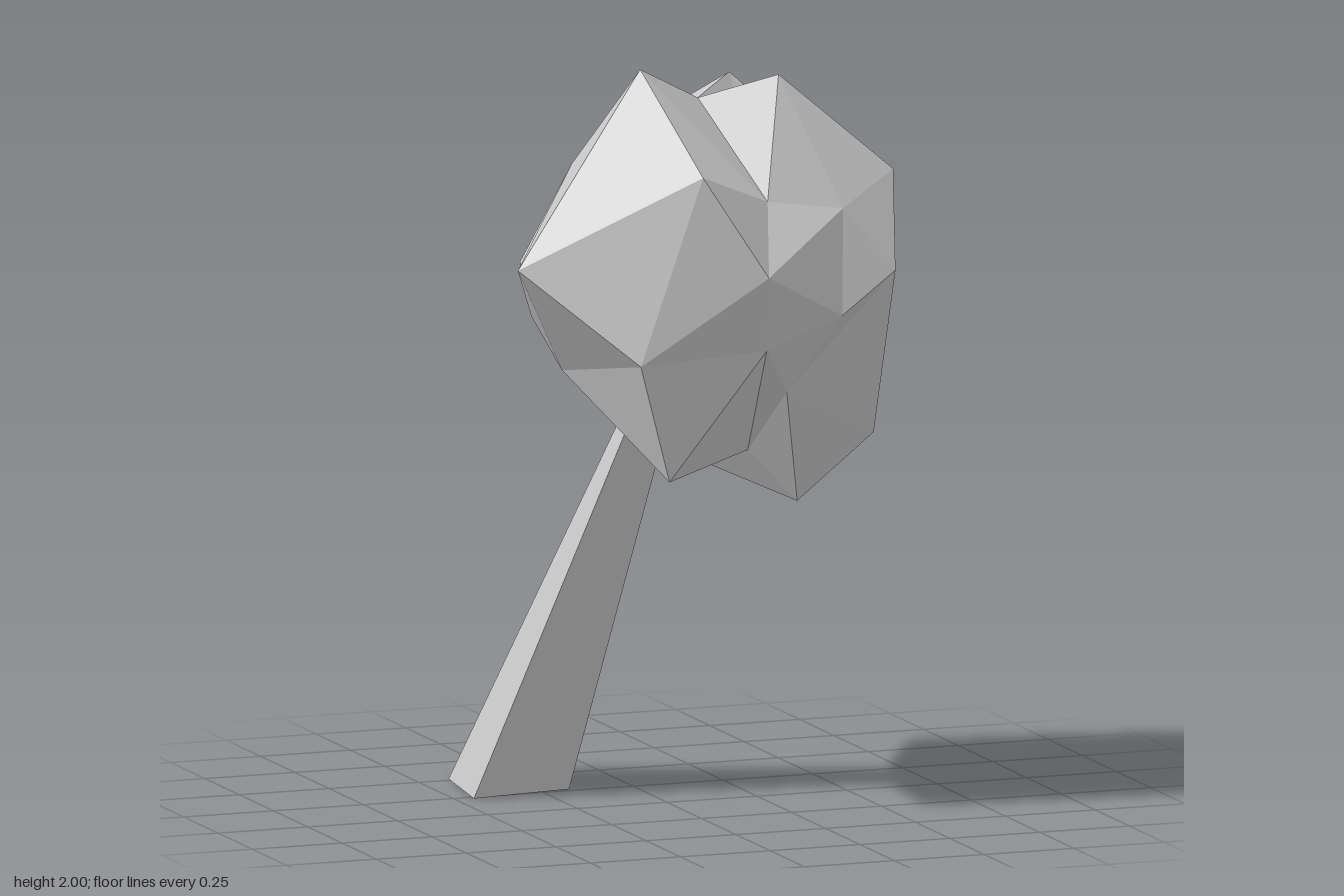
import * as THREE from 'three';
import { ConvexGeometry } from 'three/addons/geometries/ConvexGeometry.js';

const material = new THREE.MeshStandardMaterial({ color: 0xcccccc, flatShading: true });

// Corner points of the crown, from the top down
const crownPoints = [
  [-0.19, 2.0, 0.3], [0.18, 1.97, 0.34], [0.02, 1.89, 0.17], [0.2, 1.84, -0.01], [0.21, 1.9, -0.1],
  [0.27, 1.79, -0.02], [-0.15, 1.75, 0.18], [-0.11, 1.75, 0.55], [0.48, 1.71, 0.39], [-0.24, 1.69, -0.07],
  [0.02, 1.68, -0.23], [0.1, 1.66, 0.47], [0.31, 1.63, 0.47], [0.525, 1.62, -0.02], [-0.53, 1.49, 0.3],
  [-0.14, 1.49, -0.29], [0.31, 1.49, -0.27], [0.06, 1.48, 0.585], [0.45, 1.46, 0.485], [-0.36, 1.43, -0.13],
  [0.47, 1.4, 0.04], [0.05, 1.41, -0.36], [0.3, 1.35, 0.49], [-0.42, 1.33, 0.11], [0.455, 1.3, -0.12],
  [0.09, 1.27, 0.49], [-0.26, 1.25, 0.49], [-0.09, 1.22, -0.44], [-0.35, 1.19, 0.15], [0.28, 1.19, -0.27],
  [0.18, 1.14, 0.4], [0.3, 1.07, 0], [0.12, 1.03, -0.3], [-0.1, 1.04, -0.2], [0.46, 1.0, 0.3],
  [0.14, 0.96, 0.22], [0, 0.94, 0], [-0.15, 0.925, 0.41], [0.27, 0.82, 0.24],
].map((p) => new THREE.Vector3(...p));

// Ridges and folds that must run between two of the points
const creases = [
  [0, 14], [0, 9], [0, 11], [2, 11], [2, 5], [2, 6], [3, 6], [6, 10], [6, 9], [1, 5], [1, 12], [4, 5],
  [4, 13], [4, 16], [13, 16], [4, 10], [10, 21], [9, 14], [9, 23], [9, 19], [9, 15], [19, 23], [7, 17],
  [11, 17], [12, 17], [12, 22], [17, 26], [25, 37], [25, 35], [25, 30], [18, 30], [30, 34], [30, 38],
  [24, 34], [20, 34], [8, 20], [13, 20], [31, 34],
];

// Wrap the points on a sphere to get the facets, as triples of point numbers
function wrap(points, centre) {
  const dirs = points.map((p) => p.clone().sub(centre).normalize());
  const pos = new ConvexGeometry(dirs).attributes.position;
  const v = new THREE.Vector3();
  const faces = [];
  for (let i = 0; i < pos.count; i++) {
    v.fromBufferAttribute(pos, i);
    let best = 0;
    dirs.forEach((d, k) => { if (d.dot(v) > dirs[best].dot(v)) best = k; });
    if (i % 3 === 0) faces.push([]);
    faces[faces.length - 1].push(best);
  }
  return faces;
}

// Turn the shared edge of two facets so that it joins points a and b
function turnEdge(faces, a, b, keep) {
  for (const face of faces.filter((f) => f.includes(a))) {
    const i = face.indexOf(a);
    const u = face[(i + 1) % 3], v = face[(i + 2) % 3];
    const other = faces.find((f) => f.includes(b) && f.includes(u) && f.includes(v));
    const fixed = keep.some((e) => e.includes(u) && e.includes(v));
    if (!other || face.includes(b) || fixed) continue;
    face.splice(0, 3, a, u, b);
    other.splice(0, 3, a, b, v);
    return;
  }
}

function crownGeometry() {
  const faces = wrap(crownPoints, new THREE.Vector3(0.02, 1.4, 0.08));
  for (let pass = 0; pass < 3; pass++) {
    for (const [a, b] of creases) {
      if (!faces.some((f) => f.includes(a) && f.includes(b))) turnEdge(faces, a, b, creases);
    }
  }
  const geometry = new THREE.BufferGeometry().setFromPoints(faces.flat().map((k) => crownPoints[k]));
  geometry.computeVertexNormals();
  return geometry;
}

// Leaning, tapered four-sided trunk: corners run front right, back right, back left, front left
function trunkGeometry() {
  const base = [[-0.45, -0.23], [-0.41, -0.52], [-0.165, -0.585], [-0.17, -0.27]];
  const top = [[-0.17, 0.09], [-0.14, -0.05], [-0.02, -0.09], [-0.04, 0.065]];
  const topY = 0.96;
  const k = 1.12; // carried on into the crown
  const corners = [];
  base.forEach(([bx, bz], i) => {
    const [x, z] = top[i];
    corners.push(new THREE.Vector3(bx, 0, bz));
    corners.push(new THREE.Vector3(bx + (x - bx) * k, topY * k, bz + (z - bz) * k));
  });
  return new ConvexGeometry(corners);
}

export function createModel() {
  const tree = new THREE.Group();
  tree.name = 'tree';

  const crown = new THREE.Mesh(crownGeometry(), material);
  crown.name = 'crown';

  const trunk = new THREE.Mesh(trunkGeometry(), material);
  trunk.name = 'trunk';

  tree.add(crown, trunk);
  return tree;
}
